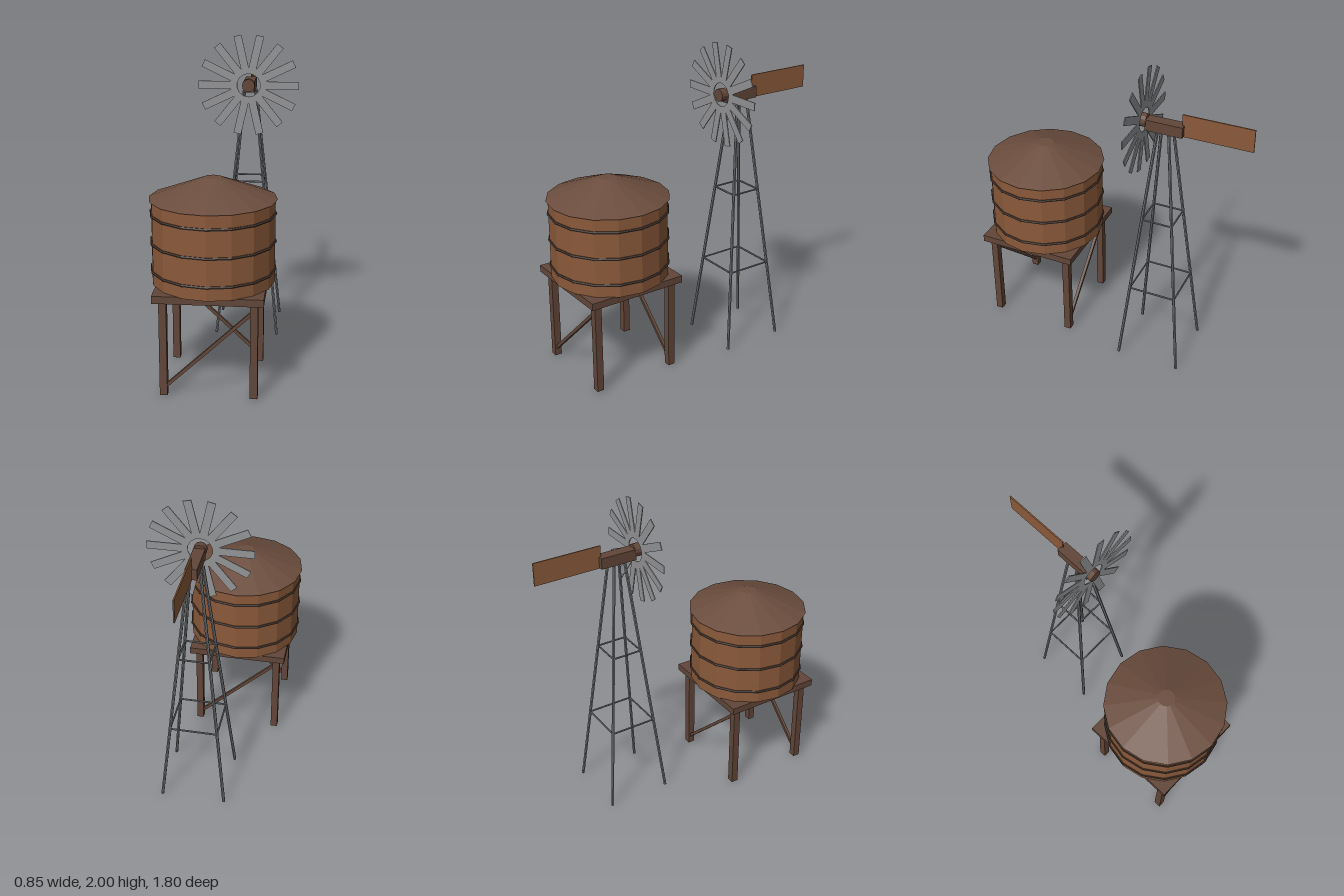
import * as THREE from 'three';

const flat = (name, color) => {
  const m = new THREE.MeshStandardMaterial({ color, flatShading: true });
  m.name = name;
  return m;
};

export function createModel() {
  const wood = flat('warm wood', 0x8b5a3a);
  const timber = flat('dark timber', 0x624639);
  const roofing = flat('roof brown', 0x6b4d3e);
  const iron = flat('dark iron', 0x4a3830);
  const steel = flat('tower steel', 0x707274);
  const vane = flat('blade grey', 0x939496);

  const model = new THREE.Group();
  const add = (parent, name, geometry, material, x = 0, y = 0, z = 0) => {
    const mesh = new THREE.Mesh(geometry, material);
    mesh.name = name;
    mesh.position.set(x, y, z);
    parent.add(mesh);
    return mesh;
  };
  // Straight bar between two points
  const bar = (parent, name, a, b, geometryFor, material) => {
    const p = new THREE.Vector3(...a), q = new THREE.Vector3(...b);
    const dir = q.clone().sub(p);
    const mesh = add(parent, name, geometryFor(dir.length()), material);
    mesh.position.copy(p).add(q).multiplyScalar(0.5);
    mesh.quaternion.setFromUnitVectors(new THREE.Vector3(0, 1, 0), dir.normalize());
  };
  const rod = (r) => (length) => new THREE.CylinderGeometry(r, r, length, 6);
  const beam = (w) => (length) => new THREE.BoxGeometry(w, length, w);

  // Water tank on its stand
  const tank = new THREE.Group();
  tank.name = 'waterTank';
  tank.position.set(-0.045, 0, 0.52);
  model.add(tank);
  add(tank, 'tankWall', new THREE.CylinderGeometry(0.367, 0.367, 0.505, 16), wood, 0, 0.8825);
  add(tank, 'tankRoof', new THREE.CylinderGeometry(0.053, 0.38, 0.125, 16), roofing, 0, 1.1975);
  for (const y of [0.71, 0.88, 1.05]) {
    const band = add(tank, 'tankBand', new THREE.TorusGeometry(0.368, 0.009, 6, 16), iron, 0, y);
    band.rotation.x = Math.PI / 2;
  }
  add(tank, 'platform', new THREE.BoxGeometry(0.645, 0.045, 0.645), timber, 0, 0.6095);
  const s = 0.265;
  for (const x of [-s, s])
    for (const z of [-s, s])
      add(tank, 'standLeg', new THREE.BoxGeometry(0.045, 0.59, 0.045), timber, x, 0.295, z);
  // One diagonal brace at the front, the opposite one at the back
  for (const side of [1, -1])
    bar(tank, 'standBrace', [-s * side, 0.04, s * side], [s * side, 0.54, s * side], beam(0.02), timber);

  // Wind pump tower
  const pump = new THREE.Group();
  pump.name = 'windPump';
  pump.position.set(0.102, 0, -0.36);
  model.add(pump);
  const foot = 0.203, top = 0.037, height = 1.63;
  const corners = [[1, 1], [1, -1], [-1, -1], [-1, 1]];
  for (const [x, z] of corners)
    bar(pump, 'towerLeg', [x * foot, 0, z * foot], [x * top, height, z * top], rod(0.01), steel);
  for (const y of [0.52, 1.035]) {
    const h = foot + (top - foot) * y / height;
    corners.forEach(([x, z], i) => {
      const [x2, z2] = corners[(i + 1) % 4];
      bar(pump, 'towerRail', [x * h, y, z * h], [x2 * h, y, z2 * h], rod(0.006), steel);
    });
  }

  // Gearbox and tail vane
  add(pump, 'gearbox', new THREE.BoxGeometry(0.07, 0.07, 0.235), timber, 0, 1.665, 0);
  add(pump, 'tailVane', new THREE.BoxGeometry(0.008, 0.145, 0.435), wood, 0, 1.697, -0.322);

  // Bladed wheel
  const wheel = new THREE.Group();
  wheel.name = 'wheel';
  wheel.position.set(0, 1.68, 0.134);
  pump.add(wheel);
  const hub = add(wheel, 'hub', new THREE.CylinderGeometry(0.041, 0.041, 0.045, 12), timber);
  hub.rotation.x = Math.PI / 2;
  const blade = new THREE.BoxGeometry(0.25, 0.05, 0.006).translate(0.198, 0, 0);
  for (let i = 0; i < 14; i++)
    add(wheel, 'blade', blade, vane).rotation.z = (i / 14) * Math.PI * 2;

  return model;
}
